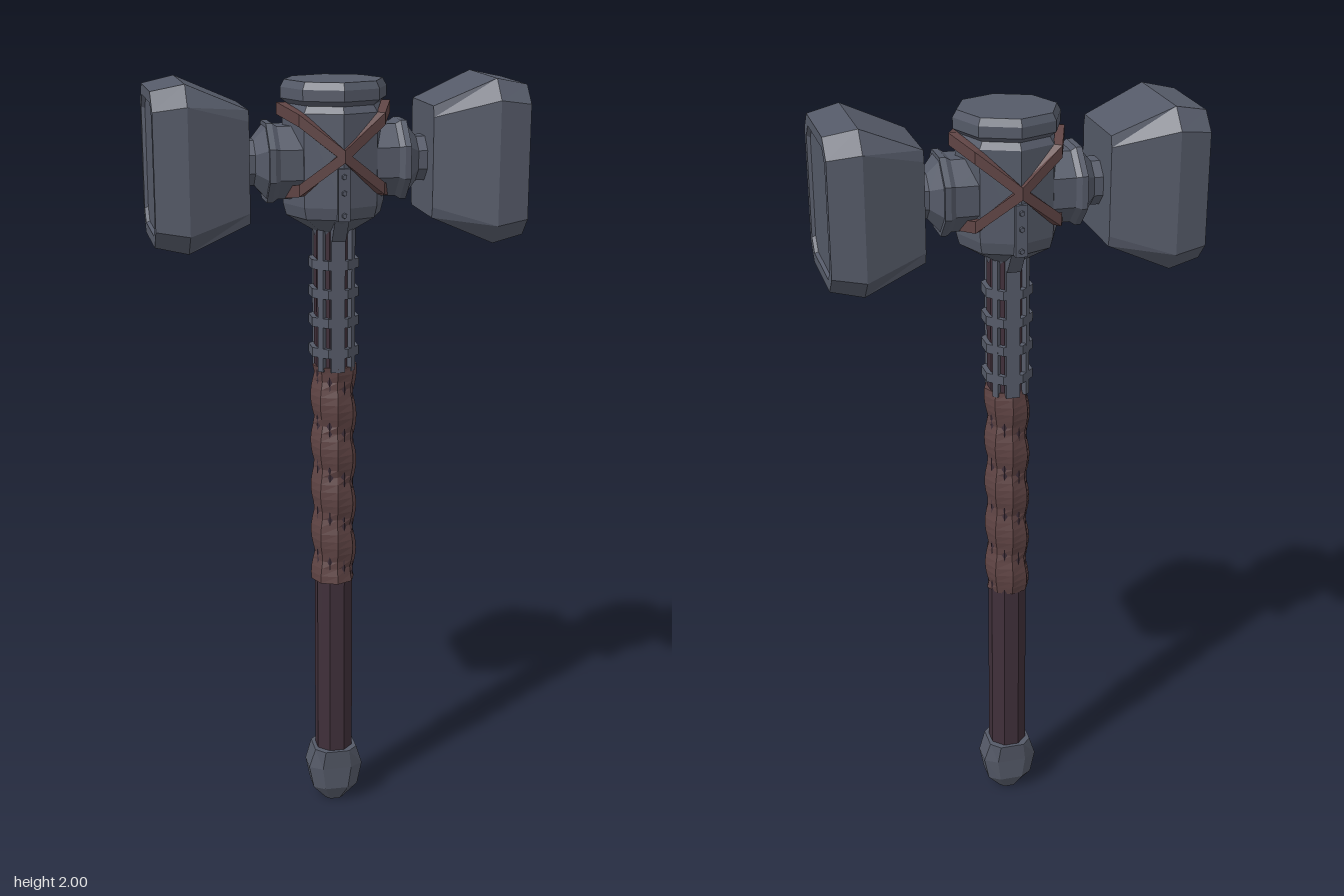
import * as THREE from 'three';

const mat = (color) => new THREE.MeshStandardMaterial({ color, flatShading: true });

// Solid from chamfered rectangles stacked along y: [y, halfX, halfZ, chamferX, chamferZ]
function loft(sections) {
  const pos = [], index = [];
  sections.forEach(([y, a, b, ca = 0, cb = 0]) => {
    const ring = [[a - ca, b], [a, b - cb], [a, cb - b], [a - ca, -b],
      [ca - a, -b], [-a, cb - b], [-a, b - cb], [ca - a, b]];
    ring.forEach(([x, z]) => pos.push(x, y, z));
  });
  for (let s = 0; s < sections.length - 1; s++) {
    for (let i = 0; i < 8; i++) {
      const a = s * 8 + i, b = s * 8 + (i + 1) % 8;
      index.push(a, b, a + 8, b, b + 8, a + 8);
    }
  }
  const g = new THREE.BufferGeometry();
  g.setAttribute('position', new THREE.Float32BufferAttribute(pos, 3));
  g.setIndex(index);
  g.computeVertexNormals();
  return g;
}

// Eight-sided turned solid from [radius, y] pairs
const turned = (profile) =>
  new THREE.LatheGeometry(profile.map(([r, y]) => new THREE.Vector2(r, y)), 8);

export function createModel() {
  const root = new THREE.Group();
  const steel = mat(0x555a68), leather = mat(0x5f4444), wood = mat(0x3f2f39);
  const add = (name, geometry, material, parent = root) => {
    const mesh = new THREE.Mesh(geometry, material);
    mesh.name = name;
    parent.add(mesh);
    return mesh;
  };

  // Shaft
  add('shaft', new THREE.CylinderGeometry(0.052, 0.052, 1.5, 8).rotateY(Math.PI / 8).translate(0, 0.89, 0), wood);

  // Pommel, wider across x than z
  add('pommel', loft([
    [0, 0, 0], [0, 0.025, 0.024, 0.012, 0.012], [0.045, 0.062, 0.048, 0.03, 0.02],
    [0.11, 0.075, 0.052, 0.035, 0.022], [0.165, 0.058, 0.058, 0.025, 0.025], [0.165, 0, 0],
  ]), steel);

  // Leather grip: spiral bulges
  const grip = new THREE.CylinderGeometry(1, 1, 0.6, 8, 30);
  const gp = grip.attributes.position;
  for (let i = 0; i < gp.count; i++) {
    const x = gp.getX(i), y = gp.getY(i), z = gp.getZ(i);
    if (Math.hypot(x, z) < 0.5) continue;
    const r = 0.051 + 0.011 * Math.abs(Math.sin(Math.PI * y / 0.125 + Math.atan2(x, z) / 2));
    gp.setXYZ(i, x * r, y, z * r);
  }
  add('grip', grip.translate(0, 0.97, 0), leather);

  // Metal strips and rings on the upper shaft
  for (let i = 0; i < 8; i++) {
    if (i % 4 === 2) continue;
    const wide = i % 4 === 0;
    add('shaftStrip', new THREE.BoxGeometry(wide ? 0.036 : 0.016, 0.37, 0.014)
      .translate(0, 1.445, 0.054).rotateY(i * Math.PI / 4), steel);
  }
  for (const y of [1.31, 1.39, 1.465, 1.54]) {
    add('shaftRing', turned([[0.05, -0.012], [0.066, -0.012], [0.066, 0.012], [0.05, 0.012], [0.05, -0.012]])
      .rotateY(Math.PI / 8).translate(0, y, 0), steel);
  }

  // Head core with cap
  add('headCore', turned([
    [0, 1.6], [0.045, 1.6], [0.055, 1.625], [0.122, 1.665], [0.13, 1.695], [0.13, 1.925],
    [0.118, 1.942], [0.135, 1.955], [0.135, 1.982], [0.125, 2], [0, 2],
  ]), steel);

  // Riveted plates, front and back
  for (const s of [1, -1]) {
    add('headPlate', new THREE.BoxGeometry(0.03, 0.13, 0.02).translate(0, 1.73, s * 0.126), steel);
    add('lowerPlate', new THREE.BoxGeometry(0.036, 0.07, 0.03).rotateX(s * 0.6).translate(0, 1.64, s * 0.075), steel);
    for (const y of [1.68, 1.735, 1.775]) {
      add('rivet', new THREE.CylinderGeometry(0.006, 0.008, 0.008, 6)
        .rotateX(s * Math.PI / 2).translate(0, y, s * 0.138), steel);
    }
  }

  // Crossed straps: loops rising to opposite sides
  for (const s of [1, -1]) {
    const strap = turned([[0.122, -0.015], [0.145, -0.015], [0.145, 0.015], [0.122, 0.015], [0.122, -0.015]]);
    const p = strap.attributes.position;
    for (let i = 0; i < p.count; i++) {
      const c = p.getX(i) / Math.hypot(p.getX(i), p.getZ(i));
      const diagonal = Math.abs(c) > 0.5 && Math.abs(c) < 0.9;
      if (diagonal) p.setXYZ(i, p.getX(i) * 1.05, p.getY(i), p.getZ(i) * 1.05);
      p.setY(i, p.getY(i) + 1.825 + s * Math.sign(c) * (Math.abs(c) < 0.1 ? 0 : diagonal ? 0.085 : 0.105));
    }
    add('strap', strap, leather);
  }

  // Side arms and hammer blocks
  for (const side of [1, -1]) {
    const arm = new THREE.Group();
    arm.name = side > 0 ? 'leftHammer' : 'rightHammer';
    arm.position.y = 1.8;
    arm.rotation.z = -side * Math.PI / 2;
    root.add(arm);
    add('collar', turned([
      [0.097, 0.05], [0.097, 0.15], [0.106, 0.163], [0.106, 0.178], [0.095, 0.178],
      [0.06, 0.207], [0.06, 0.235],
    ]).rotateY(Math.PI / 8), steel, arm);
    add('hammerBlock', loft([
      [0.23, 0, 0], [0.23, 0.138, 0.111, 0.027, 0.007], [0.385, 0.204, 0.169, 0.05, 0.045],
      [0.467, 0.187, 0.152, 0.045, 0.042], [0.467, 0.16, 0.128, 0.032, 0.03],
      [0.458, 0.156, 0.124, 0.032, 0.03], [0.458, 0, 0],
    ]), steel, arm);
  }
  return root;
}
